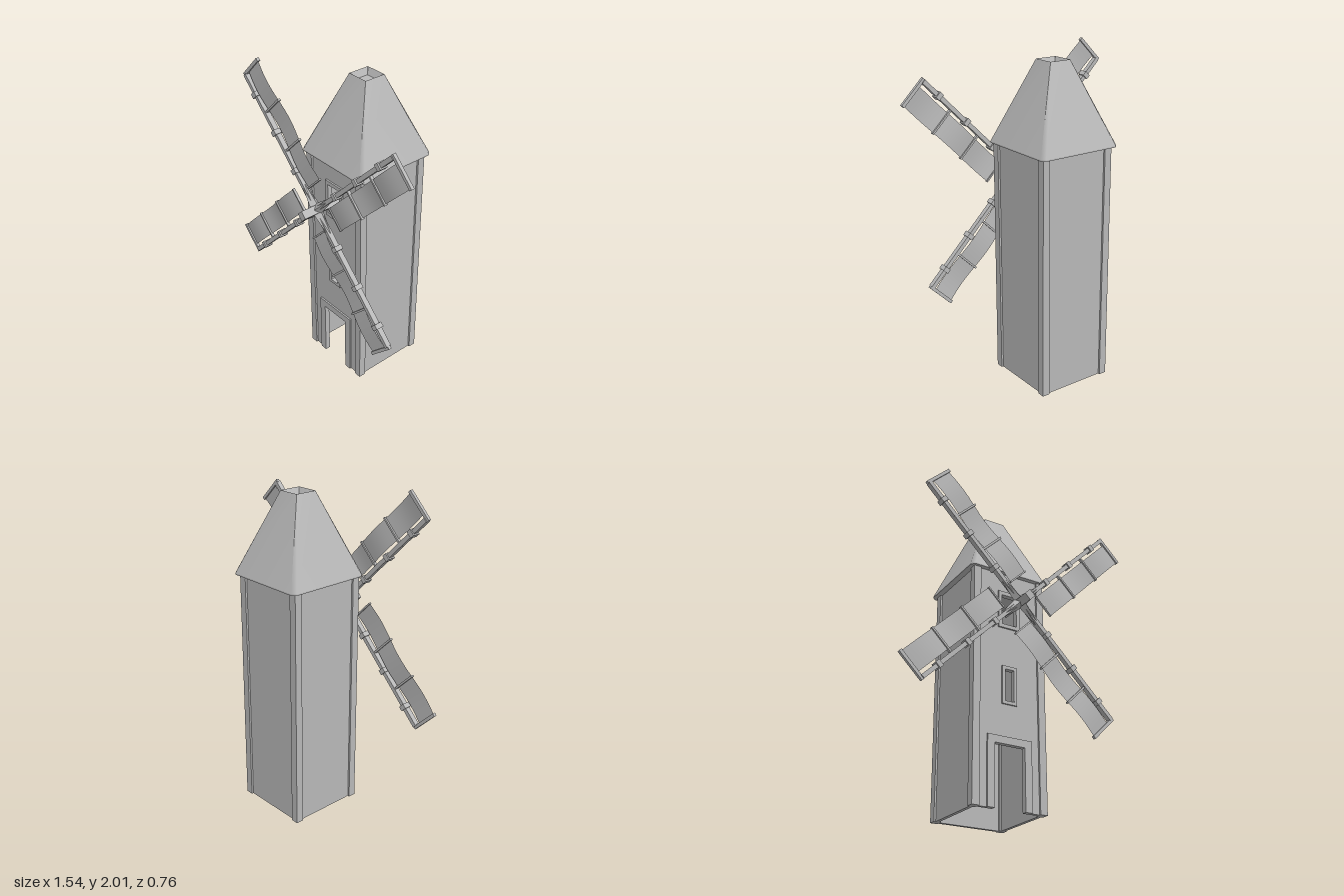
import * as THREE from 'three';

export function createModel() {
  const model = new THREE.Group();
  const stone = new THREE.MeshStandardMaterial({ color: 0xb8b8b8, side: THREE.DoubleSide });
  stone.name = 'plain grey';

  const add = (parent, name, geometry, x = 0, y = 0, z = 0) => {
    const mesh = new THREE.Mesh(geometry, stone);
    mesh.name = name;
    mesh.position.set(x, y, z);
    parent.add(mesh);
    return mesh;
  };
  const box = (parent, name, w, h, d, x, y, z) =>
    add(parent, name, new THREE.BoxGeometry(w, h, d), x, y, z);

  // Closed rectangle as a path or shape
  const rect = (Type, half, y0, y1) => new Type([
    [-half, y0], [half, y0], [half, y1], [-half, y1],
  ].map(([x, y]) => new THREE.Vector2(x, y)));
  // Doorway-like outline, open towards the ground
  const extrude = (shape, depth) => new THREE.ExtrudeGeometry(shape, { depth, bevelEnabled: false });

  // Tower
  const H = 1.48, HALF = 0.245, POST = 0.047, CZ = -0.103;
  const INSET = 0.012, WALL = 0.022;
  const tower = new THREE.Group();
  tower.name = 'tower';
  tower.position.z = CZ;
  model.add(tower);

  // Corner posts
  for (const sx of [-1, 1]) for (const sz of [-1, 1])
    box(tower, 'cornerPost', POST, H, POST, sx * (HALF - POST / 2), H / 2, sz * (HALF - POST / 2));

  // Plain side and back walls
  const span = 2 * (HALF - POST), wallAt = HALF - INSET - WALL / 2;
  for (const s of [-1, 1]) box(tower, 'sideWall', WALL, H, span, s * wallAt, H / 2, 0);
  box(tower, 'backWall', span, H, WALL, 0, H / 2, -wallAt);

  // Front wall with doorway and two windows
  const windows = [
    { name: 'lowerWindowFrame', outer: 0.05, inner: 0.03, y: [0.62, 0.64, 0.84, 0.86] },
    { name: 'upperWindowFrame', outer: 0.073, inner: 0.05, y: [1.11, 1.134, 1.33, 1.355] },
  ];
  const arch = (outer, top, inner, innerTop) => new THREE.Shape([
    [-outer, 0], [-inner, 0], [-inner, innerTop], [inner, innerTop],
    [inner, 0], [outer, 0], [outer, top], [-outer, top],
  ].map(([x, y]) => new THREE.Vector2(x, y)));
  const front = arch(span / 2, H, 0.1, 0.375);
  for (const w of windows) front.holes.push(rect(THREE.Path, w.inner, w.y[1], w.y[2]));
  const frontZ = HALF - INSET - WALL;
  add(tower, 'frontWall', extrude(front, WALL), 0, 0, frontZ);

  // Raised frames round the openings
  const frameDepth = WALL + INSET - 0.001;
  add(tower, 'doorFrame', extrude(arch(0.147, 0.42, 0.1, 0.375), frameDepth), 0, 0, frontZ);
  for (const w of windows) {
    const shape = rect(THREE.Shape, w.outer, w.y[0], w.y[3]);
    shape.holes.push(rect(THREE.Path, w.inner, w.y[1], w.y[2]));
    add(tower, w.name, extrude(shape, frameDepth), 0, 0, frontZ);
  }

  // Skin between square rings [height, half width, corner cut]
  const loft = (rings) => {
    const pos = [], index = [];
    for (const [y, h, c] of rings) {
      const k = h - c;
      for (const [x, z] of [[-k, h], [k, h], [h, k], [h, -k], [k, -h], [-k, -h], [-h, -k], [-h, k]])
        pos.push(x, y, z);
    }
    for (let i = 0; i < rings.length - 1; i++) for (let j = 0; j < 8; j++) {
      const a = i * 8 + j, b = i * 8 + (j + 1) % 8;
      index.push(a, b, b + 8, a, b + 8, a + 8);
    }
    const g = new THREE.BufferGeometry();
    g.setAttribute('position', new THREE.Float32BufferAttribute(pos, 3));
    g.setIndex(index);
    g.computeVertexNormals();
    return g;
  };

  // Roof: smooth sloping sides, flat underside, sunken top
  const roof = new THREE.Group();
  roof.name = 'roof';
  roof.position.z = -0.11;
  model.add(roof);
  const TOP = 1.975;
  add(roof, 'roofSides', loft([[H + 0.008, 0.27, 0.022], [TOP, 0.069, 0.001]]));
  add(roof, 'roofEave', loft([[H, 0.27, 0.022], [H + 0.008, 0.27, 0.022]]));
  add(roof, 'roofUnderside', loft([[H, 0.001, 0], [H, 0.27, 0.022]]));
  add(roof, 'roofTopHollow', loft([[TOP, 0.069, 0.001], [TOP - 0.04, 0.05, 0.001]]).toNonIndexed());
  add(roof, 'roofTopFloor', loft([[TOP - 0.04, 0.05, 0.001], [TOP - 0.04, 0.0005, 0]]));
  roof.getObjectByName('roofTopHollow').geometry.computeVertexNormals();

  // Sail wheel
  const wheel = new THREE.Group();
  wheel.name = 'sailWheel';
  wheel.position.set(0, 1.235, 0.265);
  model.add(wheel);

  // Square axle set on its edge
  box(wheel, 'axle', 0.05, 0.05, 0.275, 0, 0, -0.0265).rotation.z = Math.PI / 4;

  // Cloth that ripples between the ribs
  const STEP = 0.253, FIRST = 0.13, LAST = FIRST + 3 * STEP;
  const cloth = new THREE.PlaneGeometry(0.145, LAST - FIRST, 1, 24);
  cloth.translate(0.107, (FIRST + LAST) / 2, 0);
  const p = cloth.attributes.position;
  for (let i = 0; i < p.count; i++)
    p.setZ(i, 0.01 * Math.sin(Math.PI * (p.getY(i) - FIRST) / STEP));
  cloth.computeVertexNormals();

  // Tapered root of each spar
  const root = new THREE.CylinderGeometry(0.015, 0.036, 0.16, 4, 1).toNonIndexed();
  root.computeVertexNormals();

  for (let i = 0; i < 4; i++) {
    const sail = new THREE.Group();
    sail.name = 'sail';
    sail.rotation.z = -Math.PI / 4 - i * Math.PI / 2;
    wheel.add(sail);
    box(sail, 'spar', 0.026, 0.89, 0.032, 0, 0.445, 0);
    add(sail, 'sparRoot', root, 0, 0.08, 0);
    add(sail, 'sailCloth', cloth);
    for (let k = 0; k < 3; k++) {
      box(sail, 'clamp', 0.042, 0.03, 0.05, 0, 0.255 + k * 0.251, 0);
      const tip = k === 2;
      box(sail, tip ? 'tipRib' : 'rib', 0.2, tip ? 0.02 : 0.012, 0.02,
        0.086, FIRST + (k + 1) * STEP + (tip ? 0.006 : 0), 0);
    }
    box(sail, 'innerRib', 0.15, 0.01, 0.016, 0.107, FIRST, 0);
  }
  return model;
}
